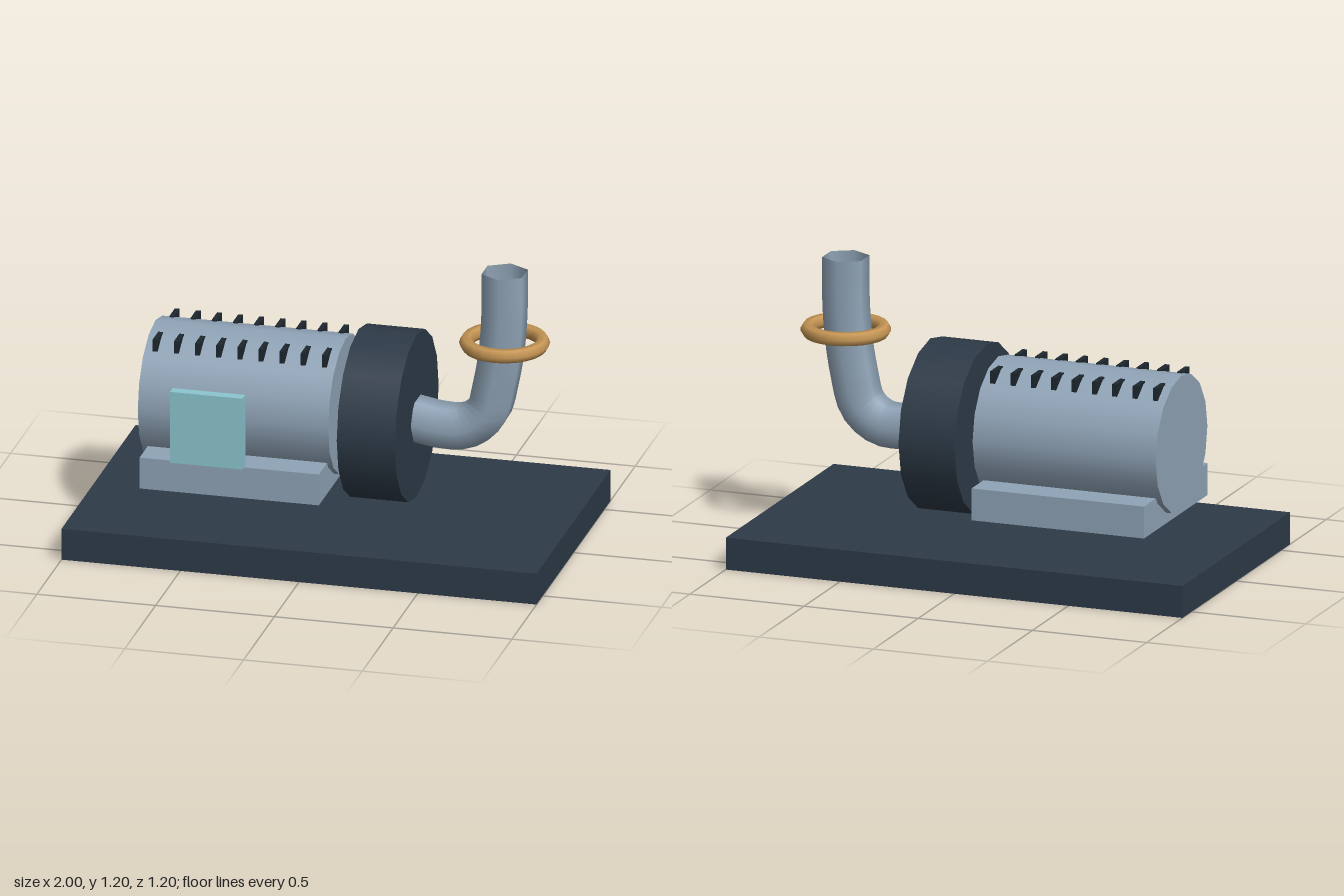
import * as THREE from 'three';

const mat = (color, side = THREE.FrontSide) => new THREE.MeshStandardMaterial({ color, side });

export function createModel() {
  const group = new THREE.Group();
  const steel = mat(0x90a4b7);
  const dark = mat(0x2d3a47);
  const black = mat(0x1d262e);
  const teal = mat(0x8cc5d0);
  const brass = mat(0xc69655);

  const add = (name, geometry, material, x, y, z, parent = group) => {
    const mesh = new THREE.Mesh(geometry, material);
    mesh.name = name;
    mesh.position.set(x, y, z);
    parent.add(mesh);
    return mesh;
  };
  // Box given by its limits on each axis
  const box = (name, material, [x0, x1], [y0, y1], [z0, z1], parent) =>
    add(name, new THREE.BoxGeometry(x1 - x0, y1 - y0, z1 - z0), material,
      (x0 + x1) / 2, (y0 + y1) / 2, (z0 + z1) / 2, parent);
  // Drum lying along x
  const drum = (name, material, radius, x0, x1, y) =>
    add(name, new THREE.CylinderGeometry(radius, radius, x1 - x0, 16).rotateZ(Math.PI / 2),
      material, (x0 + x1) / 2, y, 0);

  // Base plate, motor foot and main drums
  box('basePlate', dark, [-1, 1], [0, 0.135], [-0.6, 0.6]);
  box('motorFoot', steel, [-0.735, 0.02], [0.245, 0.38], [-0.355, 0.355]);
  drum('motorBody', steel, 0.288, -0.76, 0.042, 0.557);
  drum('pumpHousing', dark, 0.355, 0.095, 0.34, 0.535);
  box('terminalBox', teal, [-0.6, -0.295], [0.38, 0.69], [0.335, 0.38]);

  // Two rows of cooling fins along the motor
  const fins = new THREE.Group();
  fins.name = 'coolingFins';
  group.add(fins);
  for (let i = 0; i < 9; i++) {
    const x = -0.715 + i * 0.089;
    for (const s of [-1, 1]) {
      box('coolingFin', black, [x - 0.01, x + 0.01], [0.78, 0.832],
        [s * 0.135 - 0.045, s * 0.135 + 0.045], fins);
    }
  }

  // Outlet pipe, six-sided and open at the top
  const path = new THREE.CatmullRomCurve3([
    [0.33, 0.526], [0.44, 0.508], [0.55, 0.514], [0.635, 0.58],
    [0.675, 0.72], [0.7, 0.88], [0.71, 1.04], [0.71, 1.2],
  ].map(([x, y]) => new THREE.Vector3(x, y, 0)));
  add('outletPipe', new THREE.TubeGeometry(path, 24, 0.098, 6), mat(0x90a4b7, THREE.DoubleSide), 0, 0, 0);

  // Ring around the pipe
  add('pipeRing', new THREE.TorusGeometry(0.156, 0.03, 6, 24).rotateX(Math.PI / 2), brass, 0.71, 0.892, 0);

  return group;
}
